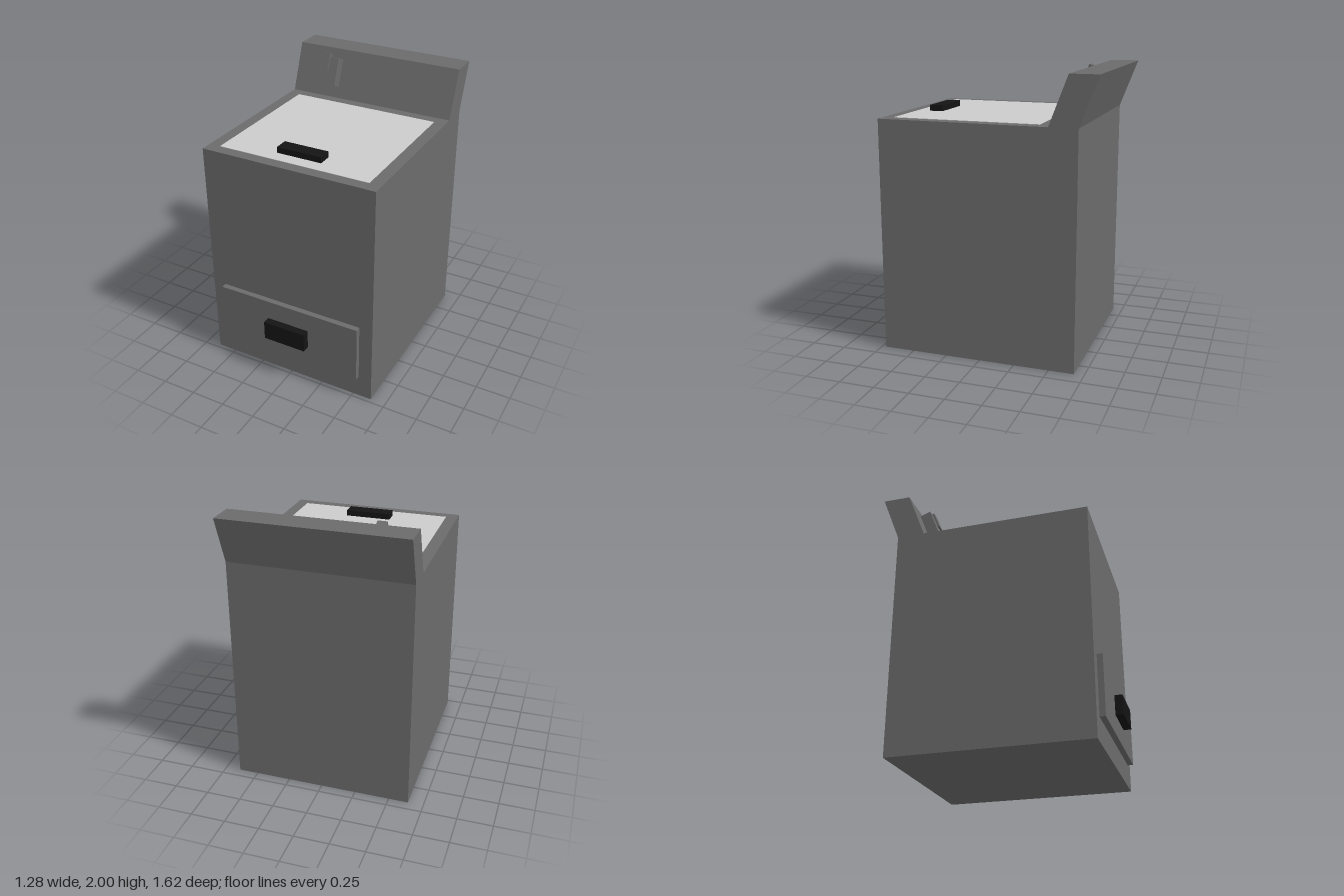
import * as THREE from 'three';

const material = (color) => new THREE.MeshStandardMaterial({ color });

export function createModel() {
  const root = new THREE.Group();
  const grey = material(0x6b6b6b);
  const pale = material(0xcccccc);
  const black = material(0x141414);

  // Box helper: size, centre, material
  function box(name, [w, h, d], [x, y, z], mat, parent = root) {
    const mesh = new THREE.Mesh(new THREE.BoxGeometry(w, h, d), mat);
    mesh.name = name;
    mesh.position.set(x, y, z);
    parent.add(mesh);
    return mesh;
  }

  // Cabinet with leaning control panel: side profile (z, y) extruded across x
  const profile = [
    [0.72, 0], [0.72, 1.66], [-0.48, 1.66], [-0.61, 2],
    [-0.81, 2], [-0.68, 1.66], [-0.68, 0],
  ].map(([z, y]) => new THREE.Vector2(-z, y));
  const width = 1.28;
  const shell = new THREE.ExtrudeGeometry(new THREE.Shape(profile), { depth: width, bevelEnabled: false });
  shell.translate(0, 0, -width / 2).rotateY(Math.PI / 2);
  const cabinet = new THREE.Mesh(shell, grey);
  cabinet.name = 'cabinet';
  root.add(cabinet);

  // Lid almost flush with the top, with its handle
  box('lid', [1.11, 0.02, 1.04], [0, 1.653, 0.12], pale);
  box('lidHandle', [0.33, 0.05, 0.1], [0, 1.68, 0.497], black);

  // Lower front drawer and its handle
  box('drawer', [1.085, 0.425, 0.04], [0, 0.383, 0.74], grey);
  box('drawerHandle', [0.322, 0.14, 0.055], [0, 0.382, 0.7875], black);

  // Switch leaning with the control panel
  const controlSwitch = new THREE.Group();
  controlSwitch.name = 'controlSwitch';
  controlSwitch.position.set(-0.373, 1.864, -0.4715);
  controlSwitch.rotation.x = -Math.atan2(0.13, 0.34);
  box('switchBase', [0.206, 0.205, 0.085], [0, 0, -0.0425], grey, controlSwitch);
  box('switchLever', [0.067, 0.127, 0.048], [0, 0.0635, -0.011], grey, controlSwitch);
  root.add(controlSwitch);

  return root;
}
